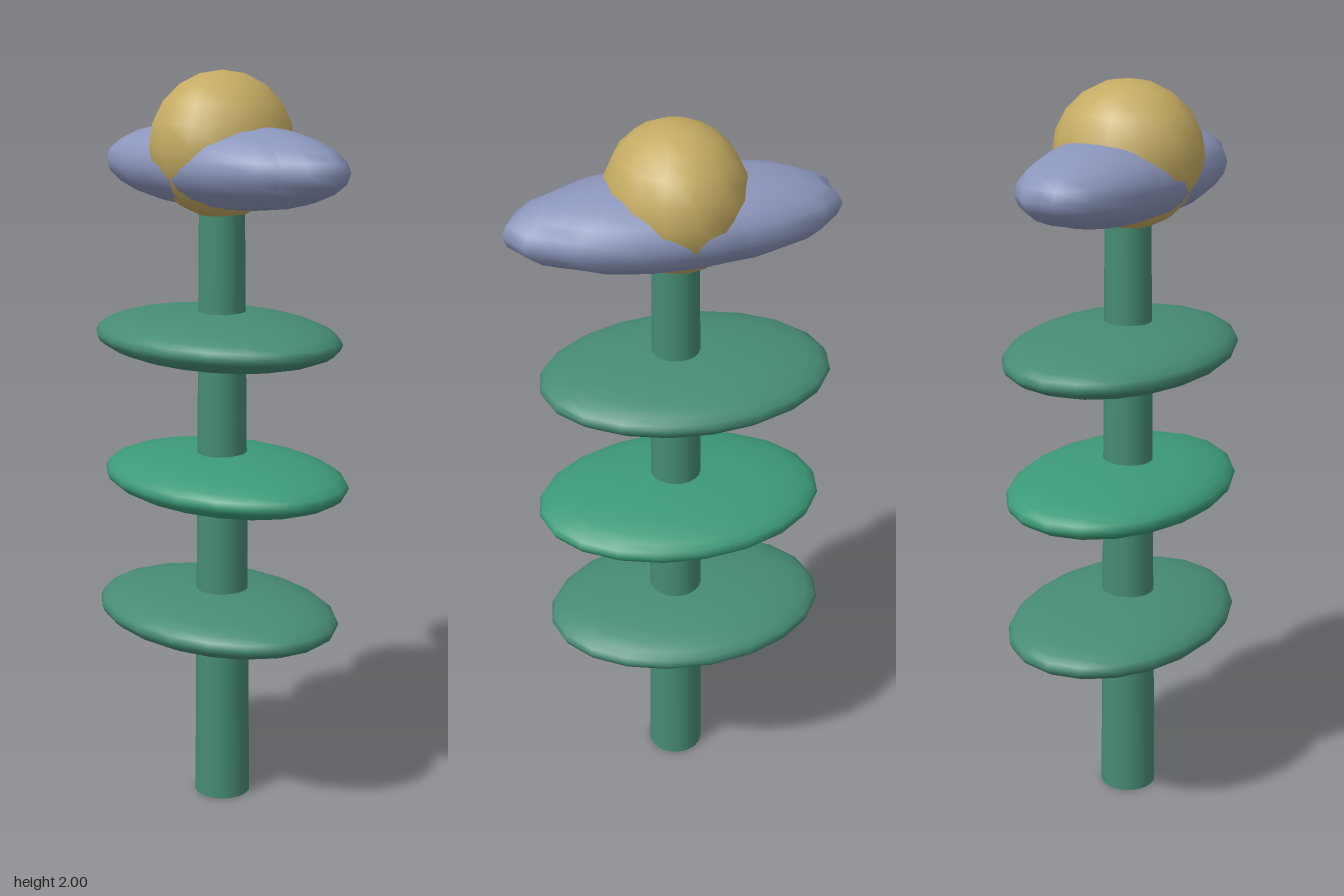
import * as THREE from 'three';

const mat = (color) => new THREE.MeshStandardMaterial({ color });

// Smooth sphere stretched to the given radii
function ellipsoid(name, material, [x, y, z], [rx, ry, rz], ws, hs) {
  const mesh = new THREE.Mesh(new THREE.SphereGeometry(1, ws, hs), material);
  mesh.name = name;
  mesh.position.set(x, y, z);
  mesh.scale.set(rx, ry, rz);
  return mesh;
}

export function createModel() {
  const model = new THREE.Group();
  model.name = 'flower';
  const green = mat(0x468c74);
  const brightGreen = mat(0x3c9a78);
  const lavender = mat(0x8c96bc);
  const yellow = mat(0xc4ab62);

  // Tapered stem
  const stem = new THREE.Mesh(new THREE.CylinderGeometry(0.06, 0.077, 1.72, 20), green);
  stem.name = 'stem';
  stem.position.set(-0.006, 0.86, 0.01);
  model.add(stem);

  // Flat leaves, shifted alternately to either side of the stem
  [0.53, 0.915, 1.3].forEach((y, i) => {
    const middle = i === 1;
    model.add(ellipsoid('leaf', middle ? brightGreen : green,
      middle ? [-0.012, y, -0.004] : [-0.032, y, 0.007], [0.388, 0.075, 0.28], 20, 16));
  });

  // Five overlapping petals in a ring, stretched sideways together
  const petals = new THREE.Group();
  petals.name = 'petals';
  petals.position.set(-0.005, 1.757, 0.007);
  petals.scale.set(0.435, 0.11, 0.19);
  for (let i = 0; i < 5; i++) {
    const a = (i / 5) * Math.PI * 2;
    const petal = ellipsoid('petal', lavender,
      [Math.cos(a) * 0.12, 0, -Math.sin(a) * 0.12], [0.88, 1, 0.88], 14, 12);
    petal.rotation.y = a;
    petals.add(petal);
  }
  model.add(petals);

  // Flower centre
  model.add(ellipsoid('flowerCentre', yellow, [-0.005, 1.81, 0.01], [0.182, 0.19, 0.2], 14, 10));
  model.getObjectByName('flowerCentre').geometry.rotateY(Math.PI / 2);
  return model;
}
